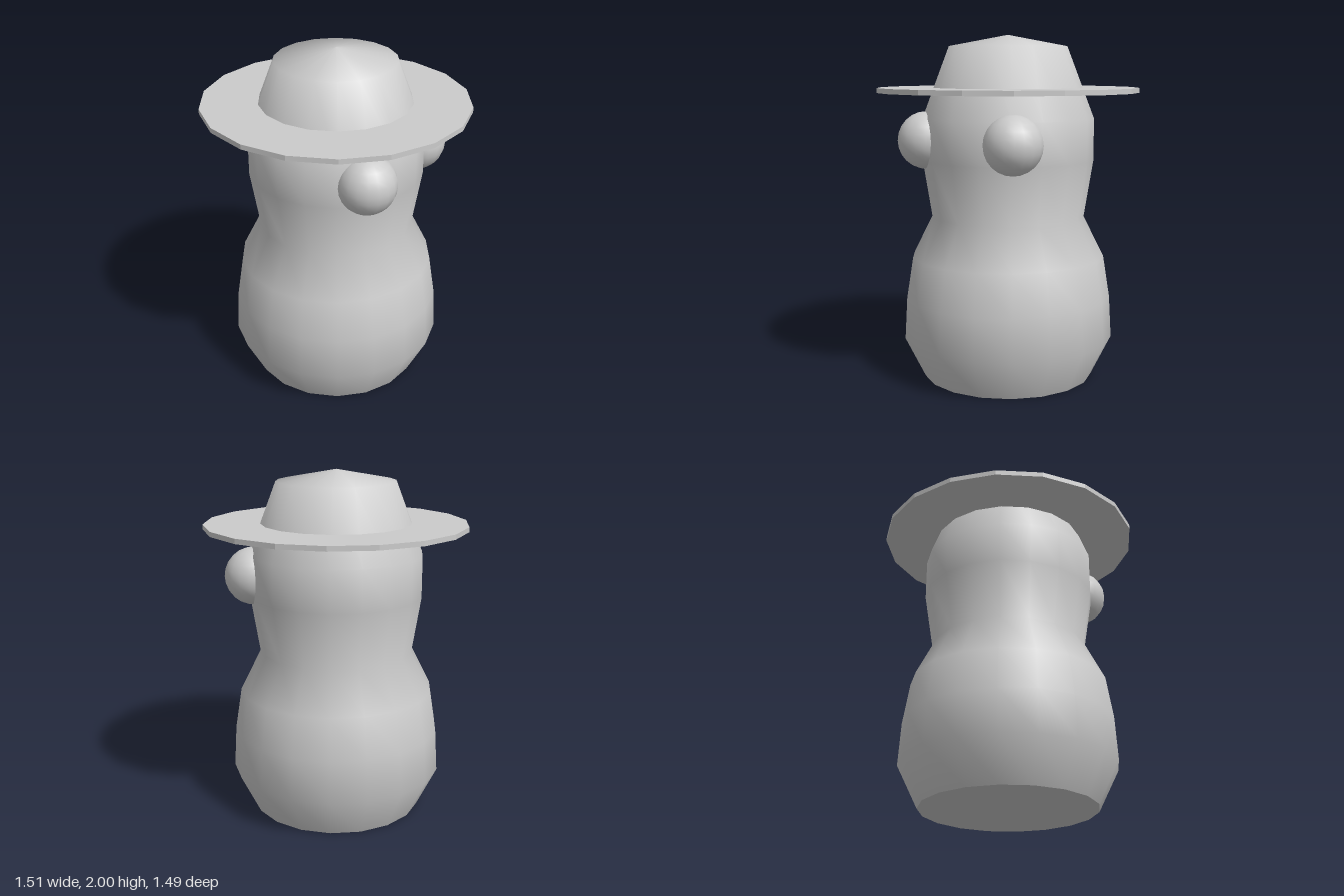
import * as THREE from 'three';

const SIDES = 18;

export function createModel() {
  const group = new THREE.Group();
  const smooth = new THREE.MeshStandardMaterial({ color: 0xcccccc });
  const flat = new THREE.MeshStandardMaterial({ color: 0xcccccc, flatShading: true });

  const add = (name, geometry, material, x = 0, y = 0, z = 0) => {
    const mesh = new THREE.Mesh(geometry, material);
    mesh.name = name;
    mesh.position.set(x, y, z);
    group.add(mesh);
    return mesh;
  };

  // Body, head and crown of the hat: one turned profile, bottom to top
  const profile = [
    [0.5, 0], [0.617, 0.237], [0.603, 0.48], [0.565, 0.72], [0.447, 0.955],
    [0.5, 1.285], [0.5, 1.525], [0.343, 1.935], [0, 2],
  ].map(([r, y]) => new THREE.Vector2(r, y));
  add('body', new THREE.LatheGeometry(profile, SIDES, Math.PI / 2), smooth);

  // Flat underside
  const base = new THREE.CircleGeometry(0.5, SIDES).rotateX(Math.PI / 2);
  add('base', base, flat);

  // Hat brim
  const brim = new THREE.CylinderGeometry(0.755, 0.755, 0.028, SIDES).rotateY(Math.PI / 2);
  add('hatBrim', brim, flat, 0, 1.686, 0);

  // Eyes, half sunk into the head
  for (const side of [1, -1]) {
    add(side > 0 ? 'frontEye' : 'backEye', new THREE.SphereGeometry(0.165, 18, 12),
      smooth, 0.36, 1.403, side * 0.312);
  }

  return group;
}
